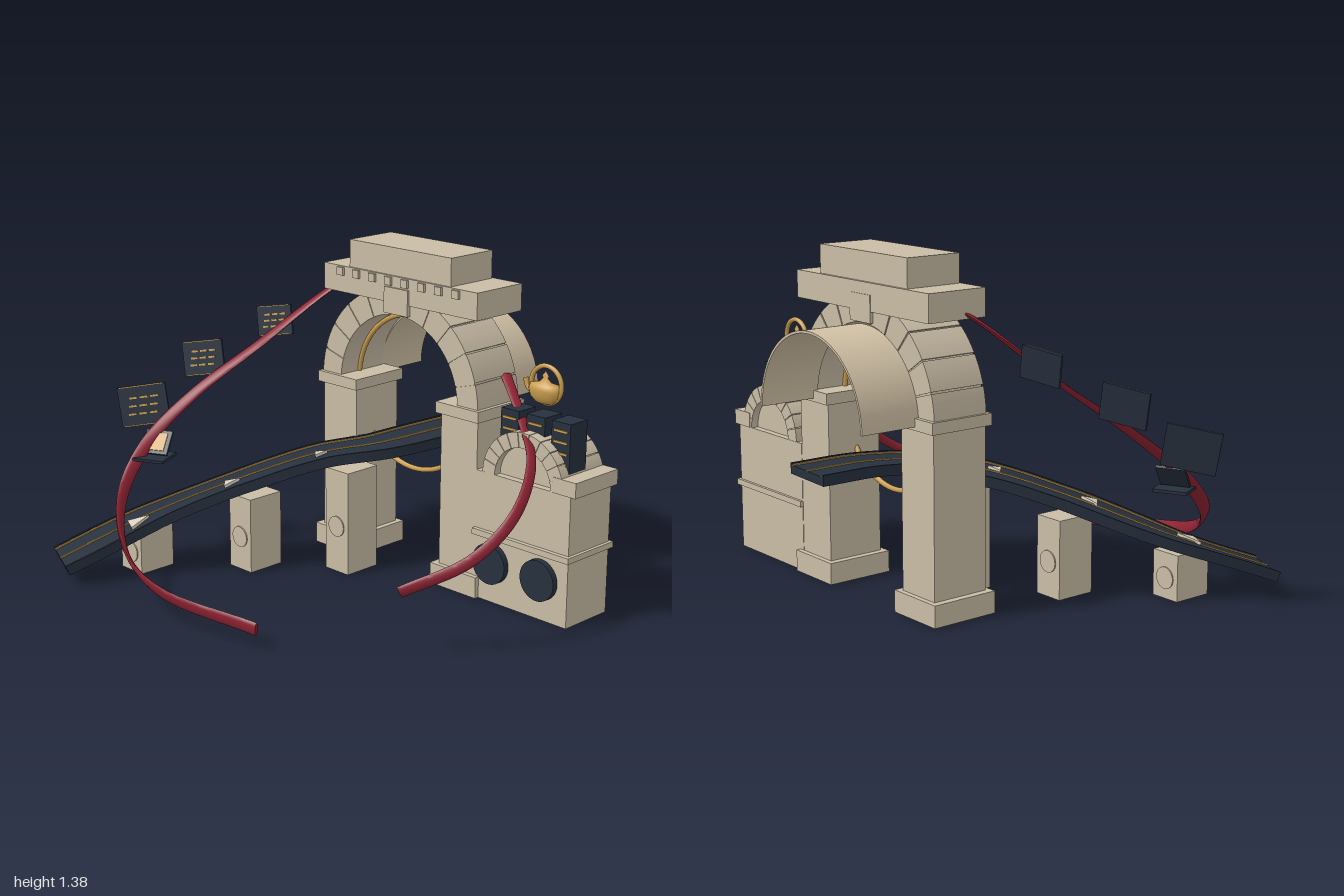
import * as THREE from 'three';
import { toCreasedNormals } from 'three/addons/utils/BufferGeometryUtils.js';

const V = (x, y, z) => new THREE.Vector3(x, y, z);
const UP = V(0, 1, 0);

export function createModel() {
  const root = new THREE.Group();
  root.name = 'archwayWithRoad';
  const mat = (name, color) => {
    const m = new THREE.MeshStandardMaterial({ color });
    m.name = name;
    return m;
  };
  const stone = mat('stone', 0xcabda6);
  const warmStone = mat('warmStone', 0xd2c2a6);
  const navy = mat('navy', 0x27303e);
  const gold = mat('gold', 0xcb9f4e);
  const red = mat('red', 0x8c2232);
  const pale = mat('paleStone', 0xd8cfbe);

  const add = (name, geo, material, parent = root) => {
    const m = new THREE.Mesh(geo, material);
    m.name = name;
    parent.add(m);
    return m;
  };
  // Box given by its limits on each axis
  const box = (name, material, x0, x1, y0, y1, z0, z1, parent = root) => {
    const g = new THREE.BoxGeometry(x1 - x0, y1 - y0, z1 - z0);
    g.translate((x0 + x1) / 2, (y0 + y1) / 2, (z0 + z1) / 2);
    return add(name, g, material, parent);
  };
  // Curved band between two radii, extruded from z0 to z1
  const band = (name, material, cx, cy, rIn, rOut, a0, a1, z0, z1, segs = 8) => {
    const s = new THREE.Shape();
    s.absarc(0, 0, rOut, a0, a1, false);
    s.absarc(0, 0, rIn, a1, a0, true);
    const g = new THREE.ExtrudeGeometry(s, { depth: z1 - z0, bevelEnabled: false, curveSegments: segs });
    g.translate(cx, cy, z0);
    return add(name, toCreasedNormals(g, 0.5), material);
  };
  // Arch of separate wedge stones over a slightly thinner core
  const arch = (name, cx, cy, rIn, rOut, z0, z1, count) => {
    band(name + 'Core', stone, cx, cy, rIn, rOut - 0.006, 0, Math.PI, z0 + 0.004, z1 - 0.004, 40);
    const step = Math.PI / count;
    for (let i = 0; i < count; i++)
      band(name + 'Stone', stone, cx, cy, rIn, rOut, i * step + 0.008, (i + 1) * step - 0.008, z0, z1, 5);
  };
  // Local axes on a path: sideways, along, upward
  const frame = (curve, u) => {
    const t = curve.getTangentAt(u);
    const s = t.clone().cross(UP).normalize();
    return { p: curve.getPointAt(u), t, s, n: s.clone().cross(t) };
  };
  // Sweeps a closed profile along a path, turning it by twist(u)
  const sweep = (curve, steps, profile, twist = () => 0) => {
    const pos = [], idx = [], k = profile.length;
    for (let j = 0; j <= steps; j++) {
      const { p, s, n } = frame(curve, j / steps), a = twist(j / steps);
      for (const [x, y] of profile) {
        const q = p.clone()
          .addScaledVector(s, x * Math.cos(a) - y * Math.sin(a))
          .addScaledVector(n, x * Math.sin(a) + y * Math.cos(a));
        pos.push(q.x, q.y, q.z);
      }
    }
    for (let j = 0; j < steps; j++)
      for (let i = 0; i < k; i++) {
        const a = j * k + i, c = j * k + (i + 1) % k;
        idx.push(a, a + k, c, a + k, c + k, c);
      }
    for (let i = 1; i < k - 1; i++) {
      const e = steps * k;
      idx.push(0, i, i + 1, e, e + i + 1, e + i);
    }
    const g = new THREE.BufferGeometry();
    g.setAttribute('position', new THREE.Float32BufferAttribute(pos, 3));
    g.setIndex(idx);
    return toCreasedNormals(g, 0.7);
  };

  // Main archway: columns, arch, cornice and attic
  const CX = 0.04;
  for (const [x0, x1] of [[-0.4, -0.2], [0.29, 0.487]]) {
    box('columnShaft', stone, x0, x1, 0, 0.75, -0.568, -0.32);
    box('columnBase', stone, x0 - 0.03, x1 + 0.025, 0, 0.09, -0.59, -0.298);
    box('columnCapital', stone, x0 - 0.017, x1 + 0.015, 0.743, 0.79, -0.586, -0.302);
  }
  arch('mainArch', CX, 0.77, 0.335, 0.445, -0.568, -0.32, 11);
  box('keystone', stone, -0.027, 0.107, 1.11, 1.22, -0.583, -0.303);
  box('cornice', stone, -0.39, 0.476, 1.155, 1.267, -0.58, -0.312);
  box('attic', stone, -0.246, 0.326, 1.267, 1.383, -0.568, -0.322);
  for (let i = 0; i < 8; i++) {
    const x = -0.285 + i * 0.093;
    box('dentil', stone, x - 0.018, x + 0.018, 1.228, 1.262, -0.312, -0.3);
  }
  band('barrelVault', warmStone, 0.033, 0.757, 0.333, 0.343, 0, Math.PI, -0.827, -0.566, 40);
  const ring = add('goldRing', new THREE.TorusGeometry(0.333, 0.011, 10, 72), gold);
  ring.position.set(0.037, 0.755, -0.43);

  // Side house with its small arch
  box('houseWall', stone, 0.487, 0.968, 0, 0.545, -0.57, -0.318);
  box('houseBelt', stone, 0.487, 0.982, 0.277, 0.302, -0.582, -0.298);
  box('houseCornice', stone, 0.88, 0.995, 0.545, 0.608, -0.575, -0.312);
  arch('houseArch', 0.727, 0.545, 0.142, 0.205, -0.572, -0.315, 11);
  band('houseArchInfill', stone, 0.727, 0.545, 0.001, 0.143, 0, Math.PI, -0.54, -0.35, 30);
  for (const x of [0.583, 0.834]) {
    const g = new THREE.CylinderGeometry(0.085, 0.085, 0.03, 36);
    g.rotateX(Math.PI / 2);
    add('roundWindow', g, navy).position.set(x, 0.171, -0.307);
  }
  // Striped cabinets on the house roof
  for (const x of [0.617, 0.748, 0.874]) {
    box('cabinet', navy, x - 0.046, x + 0.046, 0.613, 0.815, -0.465, -0.362);
    for (let i = 0; i < 4; i++) {
      const y = 0.645 + i * 0.045;
      box('cabinetStripe', gold, x - 0.034, x + 0.034, y - 0.005, y + 0.005, -0.363, -0.357);
    }
  }

  // Gold pot with ring handle
  const pot = new THREE.Group();
  pot.name = 'goldPot';
  pot.position.set(0.755, 0.86, -0.405);
  root.add(pot);
  const bowl = [[0, 0], [0.045, 0.003], [0.07, 0.025], [0.078, 0.055], [0.07, 0.075], [0.03, 0.083], [0.012, 0.1], [0.016, 0.11], [0, 0.13]];
  const bowlGeo = new THREE.LatheGeometry(bowl.map(([x, y]) => new THREE.Vector2(x, y)), 28);
  bowlGeo.scale(1, 1, 0.5);
  add('potBowl', bowlGeo, gold, pot);
  add('potHandle', new THREE.TorusGeometry(0.075, 0.01, 8, 40), gold, pot).position.set(0.005, 0.075, 0);
  const spout = new THREE.CatmullRomCurve3([V(-0.06, 0.035, 0), V(-0.085, 0.05, 0), V(-0.1, 0.085, 0)]);
  add('potSpout', new THREE.TubeGeometry(spout, 10, 0.011, 8), gold, pot);

  // Road ramp with gold lines
  const road = new THREE.CatmullRomCurve3([
    V(-0.86, 0.08, 0.775), V(-0.695, 0.235, 0.405), V(-0.41, 0.405, 0.07),
    V(-0.23, 0.49, -0.13), V(-0.05, 0.535, -0.32), V(0.02, 0.555, -0.55), V(0.04, 0.555, -0.84)]);
  const rect = (x0, x1, y0, y1) => [[x0, y0], [x1, y0], [x1, y1], [x0, y1]];
  add('roadDeck', sweep(road, 60, rect(-0.125, 0.125, -0.03, 0.005)), navy);
  for (const x of [-0.108, 0, 0.108])
    add('roadLine', sweep(road, 60, rect(x - 0.005, x + 0.005, 0.004, 0.01)), gold);
  for (const s of [-1, 1])
    add('roadKerb', sweep(road, 60, rect(s * 0.121 - 0.005, s * 0.121 + 0.005, -0.02, 0.014)), navy);
  // Arrow wedges on the road
  for (const [u, off, size] of [[0.18, 0.035, 0.06], [0.4, 0.03, 0.045], [0.6, 0.03, 0.035]]) {
    const tri = new THREE.Shape([[-0.8, -0.6], [0.8, -0.6], [0, 0.9]].map(([x, y]) => new THREE.Vector2(x * size, y * size)));
    const g = new THREE.ExtrudeGeometry(tri, { depth: 0.014, bevelEnabled: false });
    const { p, s, t, n } = frame(road, u);
    g.applyMatrix4(new THREE.Matrix4().makeBasis(s, t, n).setPosition(p.addScaledVector(s, off).addScaledVector(n, 0.003)));
    add('roadArrow', g, pale);
  }

  // Piers under the road, with a disc on front and back
  for (const [x, z, h] of [[-0.718, 0.425, 0.19], [-0.408, 0.081, 0.325], [-0.103, -0.194, 0.45]]) {
    box('pier', stone, x - 0.067, x + 0.067, 0, h, z - 0.086, z + 0.086);
    const g = new THREE.CylinderGeometry(0.045, 0.045, 0.182, 28);
    g.rotateX(Math.PI / 2);
    add('pierDisc', g, stone).position.set(x, h * 0.45, z);
  }

  // Twisting red ribbons, flat at the top and upright at the end
  const oval = (w, h) => Array.from({ length: 12 }, (_, i) => {
    const a = i / 12 * Math.PI * 2;
    return [Math.cos(a) * w, Math.sin(a) * h];
  });
  const ribbon = (name, pts, w) => {
    const c = new THREE.CatmullRomCurve3(pts.map(p => V(...p)));
    add(name, sweep(c, 90, oval(w, 0.009), u => u * Math.PI / 2), red);
  };
  ribbon('longRibbon', [[-0.25, 1.26, -0.51], [-0.39, 1.155, -0.37], [-0.6, 0.9, -0.11], [-0.745, 0.7, 0.13],
    [-0.8, 0.52, 0.34], [-0.74, 0.34, 0.53], [-0.52, 0.19, 0.69], [-0.22, 0.115, 0.755], [0.26, 0.075, 0.67]], 0.028);
  ribbon('shortRibbon', [[0.465, 0.9, -0.51], [0.68, 0.765, -0.37], [0.84, 0.66, -0.23],
    [0.925, 0.52, -0.03], [0.87, 0.38, 0.14], [0.695, 0.26, 0.34]], 0.023);

  // Hanging panels with rows of gold dashes
  for (const [x, y, z, yaw, w, h] of [
    [-0.615, 0.99, -0.23, 0.31, 0.17, 0.13], [-0.795, 0.835, 0.027, 0.43, 0.19, 0.15], [-0.9, 0.65, 0.28, 0.64, 0.215, 0.175]]) {
    const p = new THREE.Group();
    p.name = 'hangingPanel';
    p.position.set(x, y, z);
    p.rotation.set(-0.15, yaw, 0.17, 'YXZ');
    root.add(p);
    box('panelBoard', navy, -w / 2, w / 2, -h / 2, h / 2, -0.006, 0.006, p);
    for (let r = -1; r <= 1; r++)
      for (let c = -1; c <= 1; c++) {
        const dx = c * w * 0.22 + r * 0.006, dy = r * h * 0.2;
        box('panelDash', gold, dx - w * 0.08, dx + w * 0.08, dy - 0.004, dy + 0.004, 0.005, 0.009, p);
      }
    for (const s of [-1, 1])
      box('panelTrim', gold, -w / 2 + 0.01, w / 2 - 0.01, s * h * 0.485 - 0.002, s * h * 0.485 + 0.002, 0.005, 0.008, p);
  }

  // Small open case at the bend of the long ribbon
  const open = new THREE.Group();
  open.name = 'openCase';
  open.position.set(-0.765, 0.46, 0.33);
  open.rotation.y = 0.45;
  root.add(open);
  box('caseFloor', navy, -0.07, 0.07, -0.006, 0.006, -0.06, 0.08, open);
  const lid = new THREE.Group();
  lid.name = 'caseLid';
  lid.position.set(0, 0.055, -0.02);
  lid.rotation.x = -0.7;
  open.add(lid);
  box('lidBoard', navy, -0.06, 0.06, -0.055, 0.055, -0.006, 0.006, lid);
  box('lidFace', gold, -0.042, 0.042, -0.04, 0.04, 0.005, 0.01, lid);

  return root;
}
